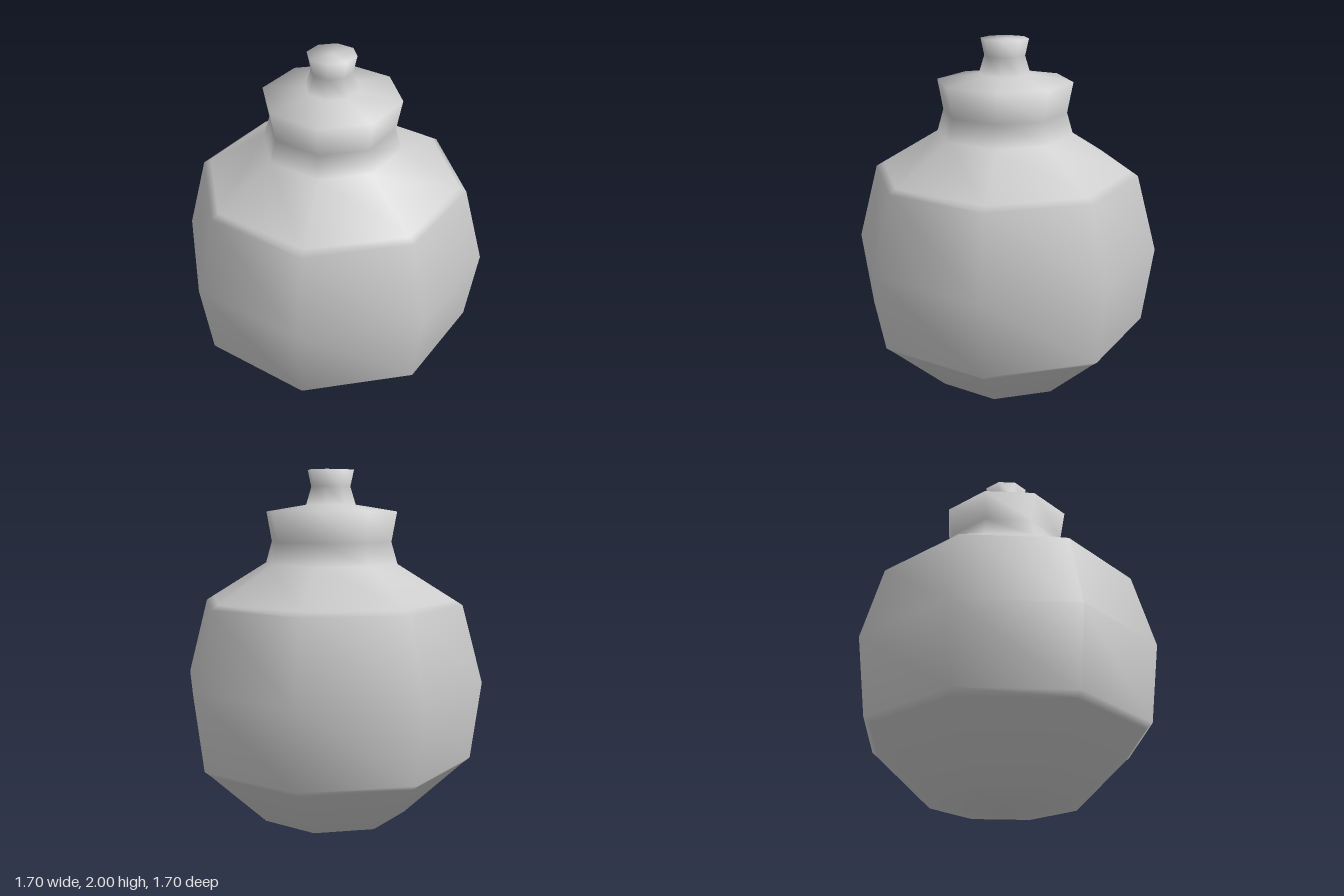
import * as THREE from 'three';
import { mergeVertices } from 'three/addons/utils/BufferGeometryUtils.js';

const SIDES = 8;

// Eight-sided turned form with a welded seam and area-weighted smooth normals
function turned(points) {
  const lathe = new THREE.LatheGeometry(points.map(([r, y]) => new THREE.Vector2(r, y)), SIDES);
  lathe.deleteAttribute('normal');
  lathe.deleteAttribute('uv');
  const geometry = mergeVertices(lathe, 1e-4);
  // drop the zero-area triangles at the poles
  const old = geometry.getIndex().array, index = [];
  for (let i = 0; i < old.length; i += 3) {
    const [a, b, c] = [old[i], old[i + 1], old[i + 2]];
    if (a !== b && b !== c && c !== a) index.push(a, b, c);
  }
  geometry.setIndex(index);
  geometry.computeVertexNormals();
  return geometry;
}

export function createModel() {
  const group = new THREE.Group();
  group.name = 'stopperedFlask';

  const profile = [
    // round belly, with narrow support rings that tighten its two creases
    [0, 0], [0.43, 0.07], [0.76, 0.385], [0.795, 0.415], [0.85, 0.845],
    [0.735, 1.27], [0.695, 1.295],
    // pinched collar
    [0.375, 1.49], [0.34, 1.61], [0.37, 1.775],
    // lid and knob
    [0.14, 1.812], [0.11, 1.91], [0.13, 2], [0, 2],
  ];

  const flask = new THREE.Mesh(
    turned(profile),
    new THREE.MeshStandardMaterial({ color: 0xcccccc }),
  );
  flask.name = 'flaskBody';
  group.add(flask);
  return group;
}
